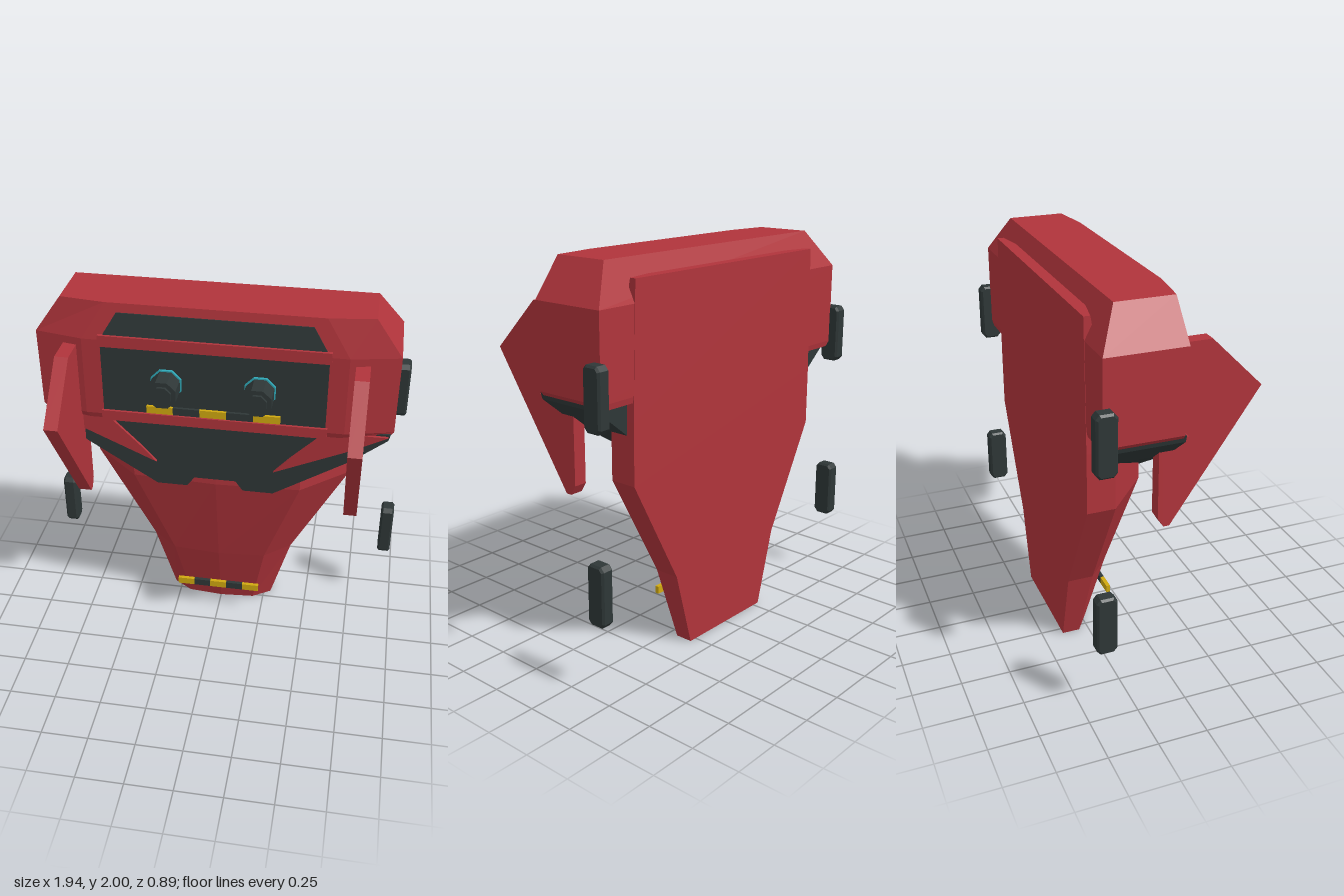
import * as THREE from 'three';

const mat = (name, color) => Object.assign(new THREE.MeshStandardMaterial({ color }), { name });

export function createModel() {
  const red = mat('hull red', 0xb0343b);
  const dark = mat('charcoal', 0x2e3737);
  const yellow = mat('marker yellow', 0xd0a910);
  const cyan = mat('lamp cyan', 0x2fa9b8);
  const model = new THREE.Group();

  const add = (name, geometry, material, x = 0, y = 0, z = 0) => {
    const mesh = new THREE.Mesh(geometry, material);
    mesh.name = name;
    mesh.position.set(x, y, z);
    model.add(mesh);
    return mesh;
  };

  // Closed flat-faced skin through rings stacked along y
  const loft = (rings) => {
    const p = [];
    const tri = (...v) => v.forEach((q) => p.push(...q));
    const n = rings[0].length;
    for (let i = 0; i < rings.length - 1; i++) {
      for (let j = 0; j < n; j++) {
        const k = (j + 1) % n;
        const [a, b, c, d] = [rings[i][j], rings[i][k], rings[i + 1][j], rings[i + 1][k]];
        tri(a, c, b);
        tri(b, c, d);
      }
    }
    const low = rings[0], top = rings[rings.length - 1];
    for (let j = 1; j < n - 1; j++) {
      tri(low[0], low[j], low[j + 1]);
      tri(top[0], top[j + 1], top[j]);
    }
    const g = new THREE.BufferGeometry();
    g.setAttribute('position', new THREE.Float32BufferAttribute(p, 3));
    g.computeVertexNormals();
    return g;
  };

  const plate = (points, depth) => new THREE.ExtrudeGeometry(
    new THREE.Shape(points.map(([x, y]) => new THREE.Vector2(x, y))),
    { depth, bevelEnabled: false });
  const mirror = (half) => [...half, ...half.map(([x, y]) => [-x, y]).reverse()];

  // Tapered hull: y, half width, side corner z, inner half width, inner z, centre z
  const hull = [
    [0, 0.29, -0.30, 0.19, -0.235, -0.22],
    [0.40, 0.40, -0.26, 0.26, -0.14, -0.12],
    [0.96, 0.70, -0.25, 0.45, -0.03, -0.01],
    [1.27, 0.70, -0.25, 0.45, -0.03, -0.01],
    [1.92, 0.68, -0.36, 0.53, -0.33, -0.33],
  ].map(([y, w, zs, wi, zi, zc]) => [
    [w, y, -0.392], [w, y, zs], [wi, y, zi], [0, y, zc],
    [-wi, y, zi], [-w, y, zs], [-w, y, -0.392]]);
  add('hull', loft(hull), red);

  // Wide cabin: y, half width, back z, side corner z, front half width, front z
  const cabin = [
    [1.36, 0.88, -0.385, 0.0, 0.64, 0.05],
    [1.39, 0.905, -0.39, 0.0, 0.66, 0.06],
    [1.81, 0.905, -0.39, 0.01, 0.66, 0.06],
    [2.0, 0.77, -0.29, 0.0, 0.54, 0.03],
  ].map(([y, w, zb, zs, wf, zf]) => [
    [w, y, zb], [w, y, zs], [wf, y, zf], [-wf, y, zf], [-w, y, zs], [-w, y, zb]]);
  add('cabin', loft(cabin), red);

  // Dark collar under the cabin
  add('collar', plate(mirror([
    [0.11, 1.01], [0.15, 0.955], [0.31, 0.955], [0.70, 1.20], [0.88, 1.345], [0.89, 1.38],
  ]), 0.365), dark, 0, 0, -0.35);

  // Front window, windscreen and the bands framing them
  add('frontWindow', new THREE.BoxGeometry(1.13, 0.36, 0.006), dark, 0, 1.60, 0.062);
  add('windscreen', plate([[-0.55, 0], [0.55, 0], [0.48, 0.115], [-0.48, 0.115]], 0.008),
    dark, 0, 1.84, 0.055).rotation.x = -0.156;
  add('upperBand', new THREE.BoxGeometry(1.15, 0.06, 0.025), red, 0, 1.81, 0.0625);
  add('lowerBand', new THREE.BoxGeometry(1.15, 0.055, 0.03), red, 0, 1.39, 0.06);

  // Striped marker bars
  const stripes = (name, width, height, y, z, depth) => {
    for (let i = 0; i < 5; i++) {
      add(name, new THREE.BoxGeometry(width / 5, height, depth),
        i % 2 ? dark : yellow, (i - 2) * width / 5, y, z);
    }
  };
  stripes('windowStripe', 0.68, 0.04, 1.447, 0.072, 0.016);
  stripes('noseStripe', 0.47, 0.04, 0.18, -0.11, 0.02);

  // Eight-sided drum facing forward, from z0 to z1
  const drum = (name, r, z0, z1, x, material) => {
    const g = new THREE.CylinderGeometry(r, r, z1 - z0, 8).toNonIndexed();
    g.rotateY(Math.PI / 8).rotateX(Math.PI / 2);
    g.computeVertexNormals();
    add(name, g, material, x, 1.6, (z0 + z1) / 2);
  };

  // Wheel outline with clipped corners, extruded sideways
  const wheel = mirror([[0.035, -0.152], [0.052, -0.135], [0.052, 0.135], [0.035, 0.152]]);

  for (const s of [1, -1]) {
    // Cheek panels hanging from the cabin
    const cheek = [[0.88, 1.37], [0.53, 1.37], [0.53, 1.33], [0.39, 1.19], [0.31, 1.10], [0.71, 1.28]];
    add('cheek', plate(cheek.map(([x, y]) => [s * x, y]), 0.06), red, 0, 0, -0.03);

    // Forward-pointing side fins
    const fin = plate([[0.03, 0.85], [0.06, 0.90], [0.06, 1.77], [-0.19, 1.77], [-0.45, 1.51], [0, 0.85]], 0.07);
    fin.rotateY(Math.PI / 2).translate(-0.035, 0, 0);
    add('fin', fin, red, s * 0.725, 0, 0);

    // Lamps
    drum('lampRing', 0.083, 0.06, 0.078, s * 0.235, cyan);
    drum('lamp', 0.076, 0.06, 0.19, s * 0.235, dark);
    drum('lampTip', 0.053, 0.18, 0.205, s * 0.235, dark);

    // Wheels
    for (const y of [0.505, 1.43]) {
      const g = new THREE.ExtrudeGeometry(
        new THREE.Shape(wheel.map(([a, b]) => new THREE.Vector2(a * 0.8, b * 0.94))),
        { depth: 0.05, bevelEnabled: true, bevelThickness: 0.01, bevelSize: 0.01, bevelSegments: 1 });
      g.rotateY(Math.PI / 2).translate(-0.025, 0, 0);
      add('wheel', g, dark, s * 0.935, y, -0.393);
    }
  }
  return model;
}
